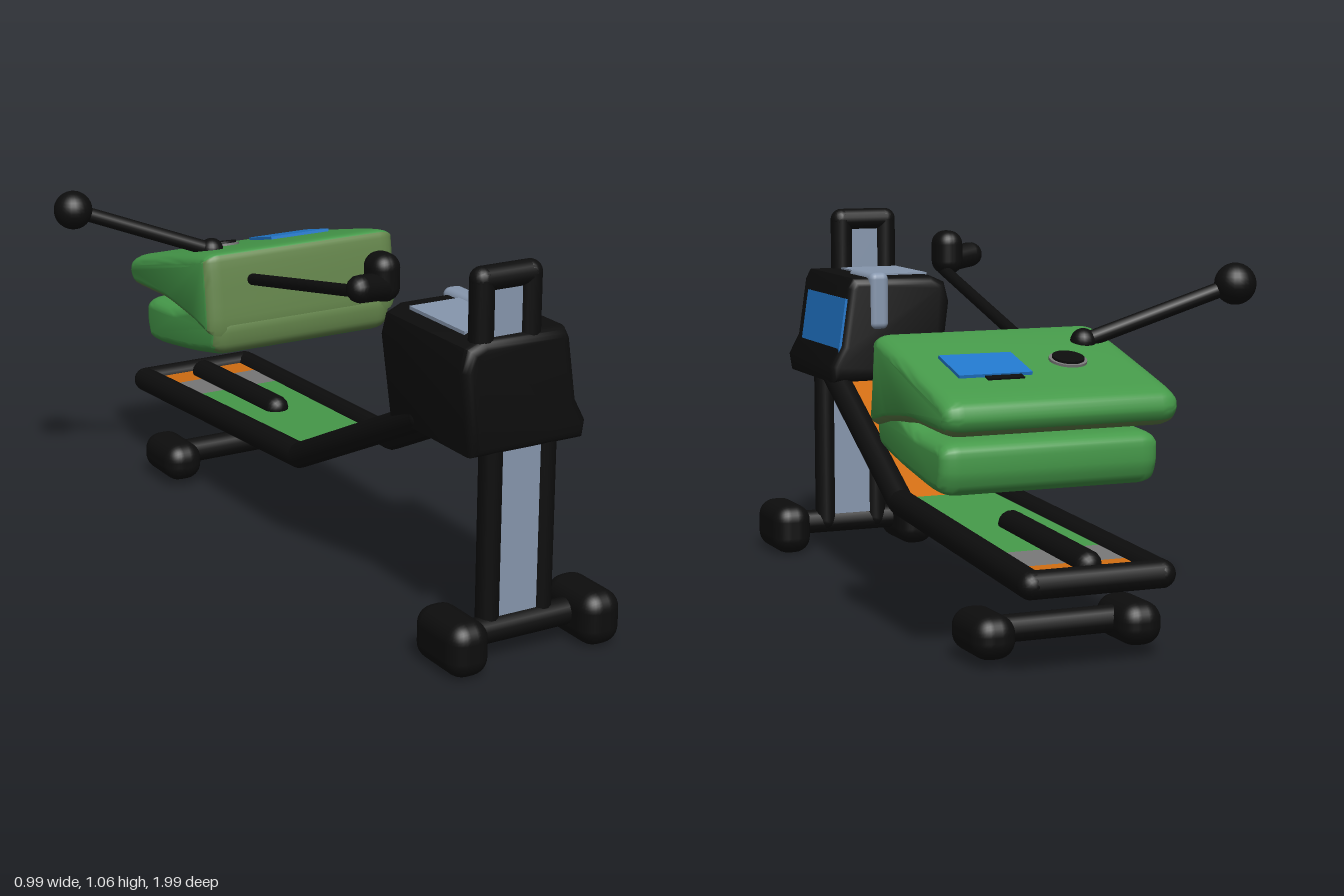
import * as THREE from 'three';
import { toCreasedNormals } from 'three/addons/utils/BufferGeometryUtils.js';
import { RoundedBoxGeometry } from 'three/addons/geometries/RoundedBoxGeometry.js';

const mat = (name, color, side = THREE.FrontSide) => {
  const m = new THREE.MeshStandardMaterial({ color, side });
  m.name = name;
  return m;
};

export function createModel() {
  const black = mat('black', 0x0d0d0d);
  const green = mat('green', 0x469a4a);
  const olive = mat('olive green', 0x65864c);
  const blue = mat('blue', 0x2278cc);
  const orange = mat('orange', 0xd06d12);
  const steel = mat('steel blue grey', 0x8797ae);
  const grey = mat('grey', 0x787878);

  const model = new THREE.Group();
  const V = (x, y, z) => new THREE.Vector3(x, y, z);

  const add = (name, geo, material, x = 0, y = 0, z = 0, parent = model) => {
    const mesh = new THREE.Mesh(geo, material);
    mesh.name = name;
    mesh.position.set(x, y, z);
    parent.add(mesh);
    return mesh;
  };

  // Round-ended bar between two points
  const bar = (name, a, b, r, material = black) => {
    const d = b.clone().sub(a);
    const mesh = add(name, new THREE.CapsuleGeometry(r, d.length(), 6, 14), material);
    mesh.position.copy(a).add(b).multiplyScalar(0.5);
    mesh.quaternion.setFromUnitVectors(V(0, 1, 0), d.normalize());
    return mesh;
  };
  const box = (name, w, h, d, material, x, y, z, parent) =>
    add(name, new THREE.BoxGeometry(w, h, d), material, x, y, z, parent);

  // Front post: two rails with a steel panel between
  const postZ = 0.875;
  for (const x of [0.028, 0.192]) bar('postRail', V(x, 0.09, postZ), V(x, 0.62, postZ), 0.032);
  box('postPanel', 0.13, 0.47, 0.04, steel, 0.113, 0.345, postZ);

  // Upper loop of the post
  for (const x of [-0.01, 0.132]) bar('upperLoopRail', V(x, 0.8, postZ), V(x, 1.03, postZ), 0.033);
  bar('upperLoopTop', V(-0.01, 1.03, postZ), V(0.132, 1.03, postZ), 0.033);
  box('upperLoopPanel', 0.1, 0.16, 0.03, steel, 0.061, 0.93, postZ);

  // Feet on cross bars, front and rear
  for (const [z, y, h, d] of [[0.885, 0.08, 0.15, 0.22], [-0.71, 0.08, 0.115, 0.21]]) {
    bar('footCrossBar', V(-0.06, y + 0.005, z), V(0.31, y + 0.005, z), 0.037);
    for (const x of [-0.085, 0.325])
      add('foot', new RoundedBoxGeometry(0.12, h, d, 4, 0.05), black, x, y, z);
  }

  // Console box: front outline with a flared left side
  const outline = [[-0.05, 0.57], [0.292, 0.57], [0.3, 0.62], [0.268, 0.68], [0.243, 0.85],
    [0.228, 0.88], [-0.02, 0.88], [-0.065, 0.86], [-0.08, 0.8]];
  const boxShape = new THREE.Shape(outline.map(p => new THREE.Vector2(...p)));
  const boxGeo = new THREE.ExtrudeGeometry(boxShape, {
    depth: 0.36, bevelThickness: 0.03, bevelSize: 0.025, bevelOffset: -0.025, bevelSegments: 4 });
  add('consoleBox', toCreasedNormals(boxGeo, 0.9), black, 0, 0, 0.525);
  const sidePanel = box('consoleSidePanel', 0.014, 0.165, 0.34, blue, 0.256, 0.737, 0.68);
  sidePanel.rotation.z = 0.146;
  box('consoleTopPanel', 0.18, 0.01, 0.26, steel, 0.06, 0.88, 0.7);
  add('consoleRidge', new RoundedBoxGeometry(0.06, 0.17, 0.2, 3, 0.02), steel, 0.15, 0.81, 0.585);

  // Bed frame: centre line of each rail, from rear to top of the incline
  const stations = [[-0.962, 0.25, -0.05, 0.305], [0, 0.295, -0.035, 0.275], [0.62, 0.595, -0.02, 0.255]];
  const at = z => {
    const i = z < 0 ? 0 : 1;
    const [a, b] = [stations[i], stations[i + 1]];
    const t = (z - a[0]) / (b[0] - a[0]);
    return a.map((v, k) => v + (b[k] - v) * t);
  };
  for (let i = 0; i < 2; i++) {
    const [a, b] = [stations[i], stations[i + 1]];
    for (const k of [2, 3]) bar('bedRail', V(a[k], a[1], a[0]), V(b[k], b[1], b[0]), 0.037);
  }
  for (const s of [stations[0], stations[2]])
    bar('bedEndRail', V(s[2], s[1], s[0]), V(s[3], s[1], s[0]), 0.037);

  // Bed surface strips, one face up or down
  const strip = (name, z0, z1, material, up) => {
    const [a, b] = [at(z0), at(z1)];
    const dy = up ? 0.012 : -0.012;
    const geo = new THREE.BufferGeometry().setFromPoints([
      V(a[2], a[1] + dy, z0), V(a[3], a[1] + dy, z0), V(b[2], b[1] + dy, z1), V(b[3], b[1] + dy, z1)]);
    geo.setIndex(up ? [0, 2, 1, 1, 2, 3] : [0, 1, 2, 1, 3, 2]);
    geo.computeVertexNormals();
    add(name, geo, material);
  };
  strip('bedRearTop', -0.96, -0.83, orange, true);
  strip('bedBandTop', -0.83, -0.68, grey, true);
  strip('bedMiddleTop', -0.68, 0, green, true);
  strip('bedInclineTop', 0, 0.62, orange, true);
  strip('bedUnderside', -0.96, 0, grey, false);
  strip('bedInclineUnderside', 0, 0.62, olive, false);
  bar('bedSlideRail', V(0.115, 0.293, -0.41), V(0.115, 0.272, -0.88), 0.037);

  // Seat body: side profiles (z, y) pulled across x with soft edges
  const jaw = (name, pts, width, isOlive) => {
    const curve = new THREE.CatmullRomCurve3(pts.map(([z, y]) => V(z, y, 0)), true, 'catmullrom', 0.3);
    const shape = new THREE.Shape(curve.getPoints(48).slice(0, -1).map(p => new THREE.Vector2(p.x, p.y)));
    const bevel = 0.05;
    let geo = new THREE.ExtrudeGeometry(shape, { depth: width - 2 * bevel, bevelThickness: bevel,
      bevelSize: 0.03, bevelOffset: -0.03, bevelSegments: 5 });
    geo.translate(0, 0, bevel - width / 2).rotateY(-Math.PI / 2);
    geo = toCreasedNormals(geo, 1.0);
    // Sort triangles into two colours by the way they face
    const p = geo.attributes.position, n = geo.attributes.normal;
    const sets = [[], []];
    const [a, b, c] = [V(), V(), V()];
    for (let i = 0; i < p.count; i += 3) {
      a.fromBufferAttribute(p, i); b.fromBufferAttribute(p, i + 1); c.fromBufferAttribute(p, i + 2);
      const normal = b.clone().sub(a).cross(c.clone().sub(a)).normalize();
      sets[isOlive(normal) ? 1 : 0].push(i, i + 1, i + 2);
    }
    sets.forEach((index, k) => {
      const g = new THREE.BufferGeometry();
      g.setAttribute('position', p);
      g.setAttribute('normal', n);
      g.setIndex(index);
      add(name + (k ? 'Front' : ''), g, k ? olive : green, 0.17, 0, 0);
    });
  };
  jaw('upperBody', [[-0.33, 0.57], [-0.335, 0.7], [-0.35, 0.8], [-0.38, 0.81], [-0.5, 0.785], [-0.8, 0.71],
    [-0.86, 0.685], [-0.87, 0.645], [-0.83, 0.605], [-0.62, 0.61], [-0.45, 0.59]], 0.64,
  n => n.z > 0.5 || n.y < -0.6);
  jaw('lowerBody', [[-0.33, 0.61], [-0.33, 0.54], [-0.36, 0.508], [-0.5, 0.478], [-0.7, 0.448], [-0.77, 0.45],
    [-0.795, 0.5], [-0.795, 0.56], [-0.76, 0.582], [-0.6, 0.592], [-0.45, 0.64]], 0.6, n => n.z > 0.5);

  // Controls on the sloping top
  const controls = new THREE.Group();
  controls.name = 'controls';
  controls.position.set(0, 0.787, -0.5);
  controls.rotation.x = -0.245;
  model.add(controls);
  box('screenRim', 0.1, 0.03, 0.05, black, 0.27, -0.012, -0.215, controls);
  box('screen', 0.2, 0.03, 0.145, blue, 0.29, -0.008, -0.145, controls);
  add('dialRim', new THREE.CylinderGeometry(0.05, 0.05, 0.03, 24), grey, 0.055, -0.01, -0.135, controls);
  add('dial', new THREE.CylinderGeometry(0.042, 0.042, 0.035, 24), black, 0.055, -0.006, -0.135, controls);

  // Lever with a ball grip
  const leverBase = V(-0.05, 0.785, -0.5), leverTip = V(-0.445, 0.932, -0.605);
  bar('lever', leverBase, leverTip, 0.021);
  add('leverPivot', new THREE.SphereGeometry(0.035, 20, 14), black, ...leverBase.toArray());
  add('leverBall', new THREE.SphereGeometry(0.056, 24, 16), black, ...leverTip.toArray());

  // Long rod from the seat body to the crank knob
  bar('pullRod', V(0.0, 0.725, -0.35), V(-0.055, 0.9, 0.5), 0.017);
  add('crankHub', new RoundedBoxGeometry(0.085, 0.13, 0.1, 4, 0.04), black, -0.065, 0.95, 0.49);
  bar('crankPeg', V(-0.06, 0.925, 0.5), V(-0.155, 0.938, 0.53), 0.037);

  return model;
}
